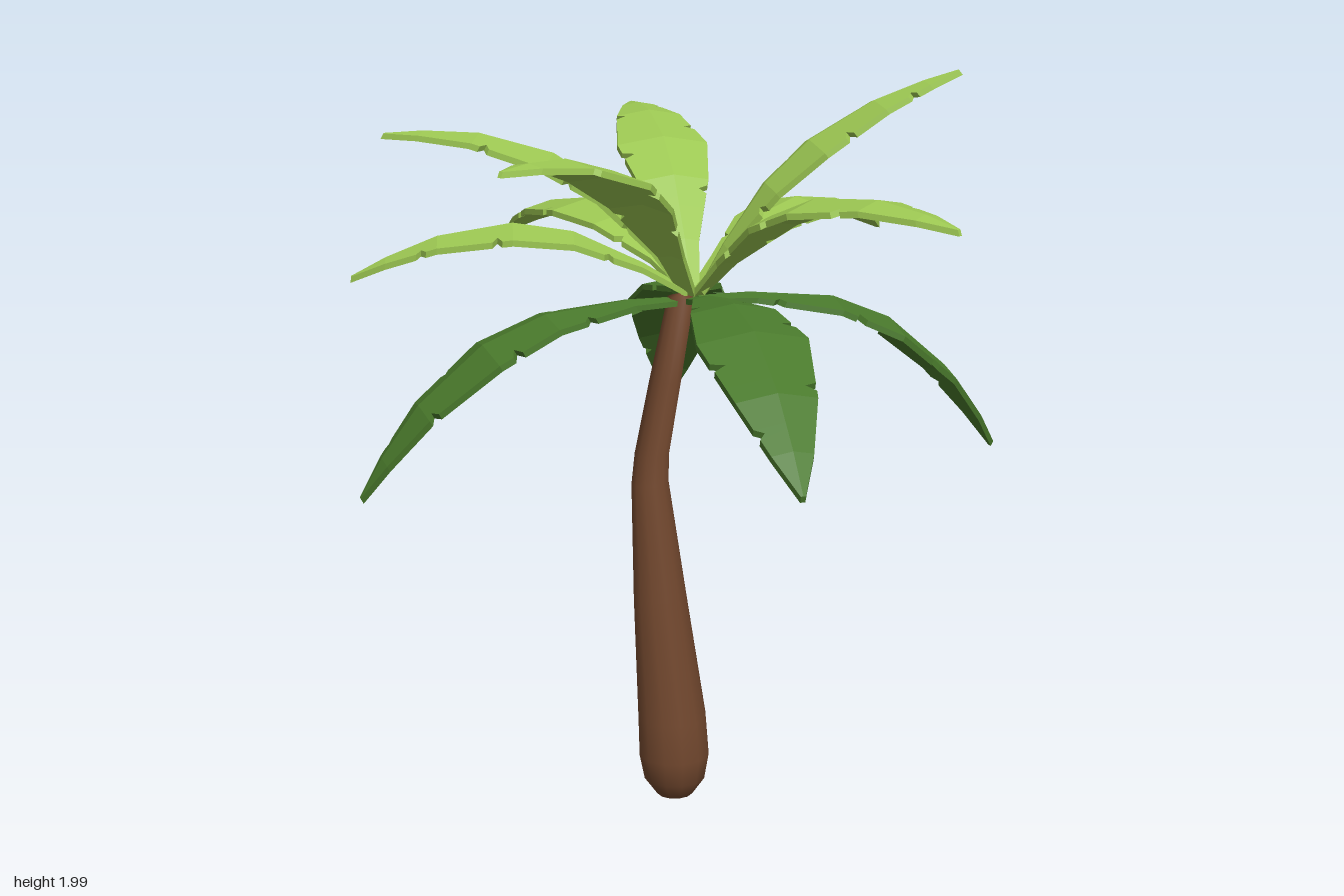
import * as THREE from 'three';

const bark = new THREE.MeshStandardMaterial({ color: 0x74492f, name: 'bark brown' });
const darkGreen = new THREE.MeshStandardMaterial({ color: 0x4a7a2c, name: 'dark leaf green' });
const lightGreen = new THREE.MeshStandardMaterial({ color: 0x9cc752, name: 'light leaf green' });

// linear lookup of column k in rows keyed by their first entry
function sample(rows, t, k) {
  let i = 1;
  while (i < rows.length - 1 && rows[i][0] < t) i++;
  const a = rows[i - 1], b = rows[i];
  const f = THREE.MathUtils.clamp((t - a[0]) / (b[0] - a[0]), 0, 1);
  return a[k] + (b[k] - a[k]) * f;
}

// trunk: a turned profile whose centre line is bent sideways
function makeTrunk() {
  const profile = [[0, 0.01], [0.05, 0.02], [0.085, 0.07], [0.098, 0.14], [0.095, 0.25], [0.073, 0.6],
    [0.051, 0.92], [0.047, 1.0], [0.043, 1.2], [0.036, 1.42], [0, 1.43]];
  const bend = [[0, -0.052], [0.2, -0.055], [0.6, -0.092], [0.92, -0.118], [1.0, -0.113], [1.2, -0.075], [1.43, -0.03]];
  const geo = new THREE.LatheGeometry(profile.map(p => new THREE.Vector2(...p)), 12);
  const pos = geo.attributes.position;
  for (let i = 0; i < pos.count; i++) pos.setX(i, pos.getX(i) + sample(bend, pos.getY(i), 1));
  geo.translate(0, 0, -0.04);
  const trunk = new THREE.Mesh(geo, bark);
  trunk.name = 'trunk';
  return trunk;
}

// leaf outline: [position along chord, arch height, half width]
const LEAF = [[0, 0, 0.025], [0.14, 0.075, 0.045], [0.35, 0.16, 0.11], [0.53, 0.178, 0.142],
  [0.75, 0.13, 0.102], [0.9, 0.06, 0.052], [1, 0, 0.006]];
const THICK = 0.016;

// folded, arched blade from base to tip with small cuts in both edges
function makeLeaf(base, tip, arch, shift) {
  const chord = tip.clone().sub(base);
  const len = chord.length();
  const along = chord.clone().normalize();
  const side = new THREE.Vector3().crossVectors(along, new THREE.Vector3(0, 1, 0)).normalize();
  const up = new THREE.Vector3().crossVectors(side, along);

  const cuts = [[0.27, 0.6, 0.82], [0.22, 0.43, 0.69]].map(list => list.map(u => u + shift));
  if (shift > 0) cuts.reverse();
  const stations = LEAF.map(r => r[0]);
  cuts.flat().forEach(u => stations.push(u - 0.014, u, u + 0.014));
  stations.sort((a, b) => a - b);

  const rows = stations.map(u => {
    const mid = base.clone().addScaledVector(along, u * len).addScaledVector(up, sample(LEAF, u, 1) * len * arch);
    const edge = s => {
      const w = sample(LEAF, u, 2) * len * (cuts[s < 0 ? 0 : 1].includes(u) ? 0.74 : 1);
      return mid.clone().addScaledVector(side, s * w).addScaledVector(up, -0.2 * w);
    };
    const top = [edge(-1), mid, edge(1)];
    const under = top.map(p => p.clone().addScaledVector(up, -THICK)).reverse();
    return [...top, ...under];
  });

  const points = [];
  const quad = (a, b, c, d) => points.push(a, b, c, a, c, d);
  for (let i = 0; i < rows.length - 1; i++) {
    for (let j = 0; j < 6; j++) {
      const k = (j + 1) % 6;
      quad(rows[i][j], rows[i][k], rows[i + 1][k], rows[i + 1][j]);
    }
  }
  // close both ends
  const s = rows[0], e = rows[rows.length - 1];
  quad(s[4], s[3], s[2], s[1]);
  quad(s[5], s[4], s[1], s[0]);
  quad(e[1], e[2], e[3], e[4]);
  quad(e[0], e[1], e[4], e[5]);

  const geo = new THREE.BufferGeometry().setFromPoints(points);
  geo.computeVertexNormals();
  return geo;
}

// crown: leaf tips as [x, y, z, arch]
const LOWER = [[0, 1.15, 0.915, 1], [0.885, 0.95, -0.1, 1], [-0.89, 0.95, 0, 1], [0.16, 0.95, -0.92, 1]];
const UPPER = [[0.69, 1.995, 0.04, 0.72], [0.70, 1.5, -0.57, 1], [0.03, 1.84, -0.84, 1], [-0.335, 1.49, -0.86, 1],
  [-0.76, 1.84, -0.28, 1], [-0.87, 1.49, -0.18, 1], [-0.59, 1.84, 0.485, 1], [0.455, 1.69, 0.66, 1]];

function makeCrown(tips, name, material, baseY) {
  const crown = new THREE.Group();
  crown.name = name + 's';
  tips.forEach(([x, y, z, arch], i) => {
    const base = new THREE.Vector3(0, baseY, -0.04);
    const out = new THREE.Vector3(x, 0, z + 0.04).normalize();
    base.addScaledVector(out, 0.015);
    const shift = [0.02, -0.025, 0.045, -0.01][i % 4];
    const leaf = new THREE.Mesh(makeLeaf(base, new THREE.Vector3(x, y, z), arch, shift), material);
    leaf.name = name;
    crown.add(leaf);
  });
  return crown;
}

export function createModel() {
  const palm = new THREE.Group();
  palm.name = 'palmTree';
  palm.add(
    makeTrunk(),
    makeCrown(LOWER, 'lowerLeaf', darkGreen, 1.42),
    makeCrown(UPPER, 'upperLeaf', lightGreen, 1.44),
  );
  return palm;
}
